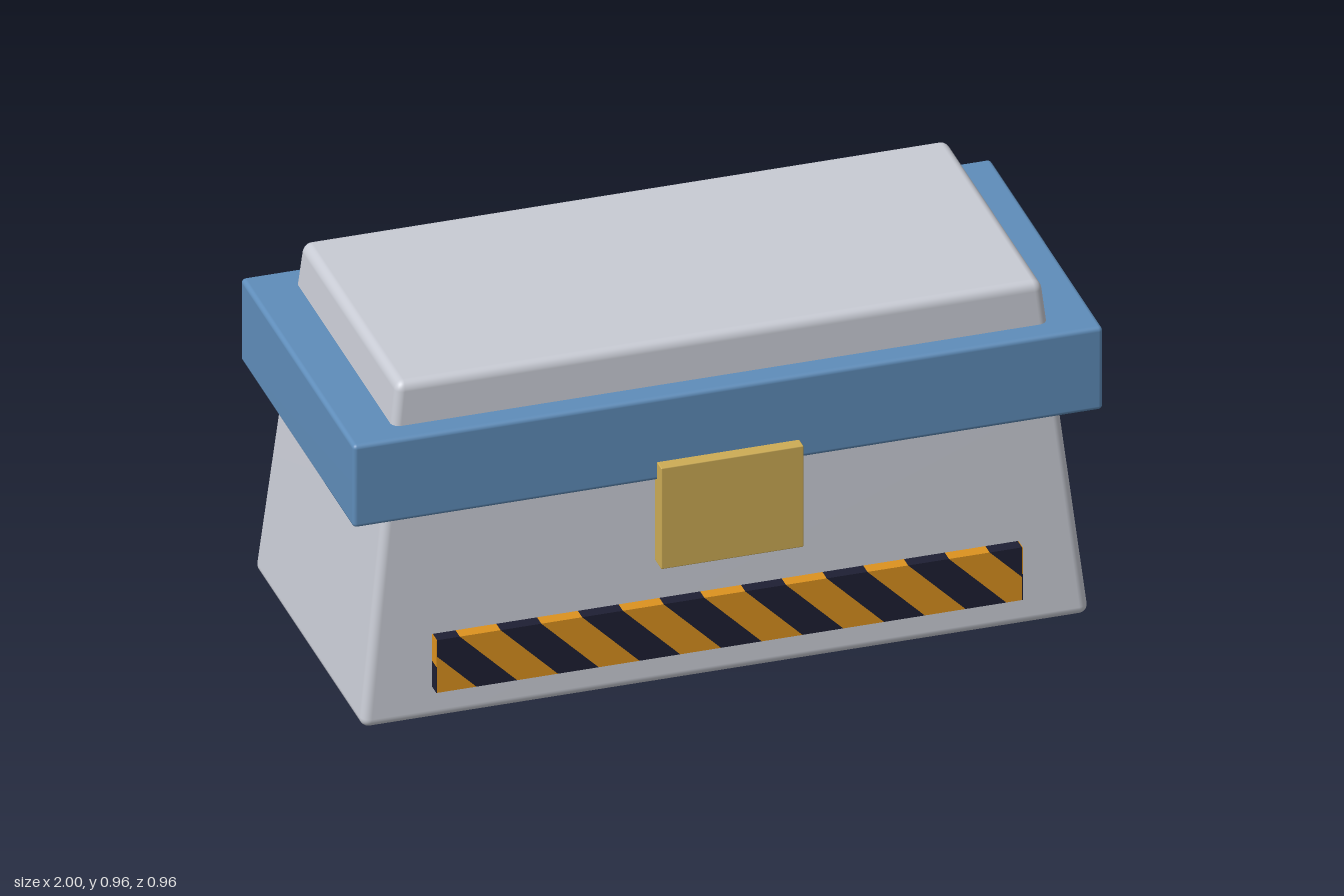
import * as THREE from 'three';
import { RoundedBoxGeometry } from 'three/addons/geometries/RoundedBoxGeometry.js';
import { mergeVertices } from 'three/addons/utils/BufferGeometryUtils.js';

const material = (name, color) => {
  const m = new THREE.MeshStandardMaterial({ color });
  m.name = name;
  return m;
};

// Rounded box given by its extents, optionally narrowing towards the top
function roundedBlock(name, mat, [x0, x1], [y0, y1], [z0, z1], radius, taper = 0) {
  const h = y1 - y0;
  let geo = new RoundedBoxGeometry(x1 - x0, h, z1 - z0, 4, radius);
  geo.deleteAttribute('uv');
  geo.deleteAttribute('normal');
  geo = mergeVertices(geo, 1e-5);
  const p = geo.attributes.position;
  for (let i = 0; i < p.count; i++) {
    const s = 1 - taper * (p.getY(i) / h + 0.5);
    p.setX(i, p.getX(i) * s);
    p.setZ(i, p.getZ(i) * s);
  }
  geo.computeVertexNormals();
  const mesh = new THREE.Mesh(geo, mat);
  mesh.name = name;
  mesh.position.set((x0 + x1) / 2, (y0 + y1) / 2, (z0 + z1) / 2);
  return mesh;
}

// Keep the part of a convex polygon on one side of x = limit
function clipX(points, limit, side) {
  const out = [];
  points.forEach((a, i) => {
    const b = points[(i + 1) % points.length];
    const da = (limit - a.x) * side, db = (limit - b.x) * side;
    if (da >= 0) out.push(a);
    if (da * db < 0) out.push(a.clone().lerp(b, da / (da - db)));
  });
  return out;
}

// Warning bar made of alternating slanted prisms
function warningBar(orange, dark) {
  const bar = new THREE.Group();
  bar.name = 'warningBar';
  const half = 0.78, y0 = 0.097, y1 = 0.25, z0 = 0.42, depth = 0.035;
  const step = 0.1087, slant = y1 - y0;
  for (let i = -2; i < 15; i++) {
    const x = -0.828 + i * step;
    let pts = [[x + slant, y0], [x + step + slant, y0], [x + step, y1], [x, y1]]
      .map(([px, py]) => new THREE.Vector2(px, py));
    pts = clipX(clipX(pts, half, 1), -half, -1);
    if (pts.length < 3) continue;
    const geo = new THREE.ExtrudeGeometry(new THREE.Shape(pts), { depth, bevelEnabled: false });
    const stripe = new THREE.Mesh(geo, i % 2 === 0 ? dark : orange);
    stripe.name = 'warningStripe';
    stripe.position.z = z0;
    bar.add(stripe);
  }
  // Two-tone end caps
  for (const side of [-1, 1]) {
    for (const [mat, a, b] of [[dark, y0, 0.173], [orange, 0.173, y1]]) {
      const cap = new THREE.Mesh(new THREE.BoxGeometry(0.002, b - a, depth), mat);
      cap.name = 'warningBarEnd';
      cap.position.set(side * (half + 0.001), (a + b) / 2, z0 + depth / 2);
      bar.add(cap);
    }
  }
  return bar;
}

export function createModel() {
  const shell = material('paleGrey', 0xc8cbd4);
  const blue = material('steelBlue', 0x5f8dba);
  const brass = material('brass', 0xcdac55);
  const orange = material('warningOrange', 0xdc921f);
  const dark = material('warningDark', 0x1e1f33);

  const model = new THREE.Group();
  model.name = 'storageCrate';
  model.add(
    roundedBlock('body', shell, [-0.972, 0.972], [0.005, 0.966], [-0.461, 0.426], 0.026, 0.115),
    roundedBlock('lidBand', blue, [-1, 1], [0.606, 0.846], [-0.479, 0.445], 0.012),
    roundedBlock('latch', brass, [-0.19, 0.19], [0.366, 0.66], [0.426, 0.479], 0.003),
    warningBar(orange, dark)
  );
  return model;
}
